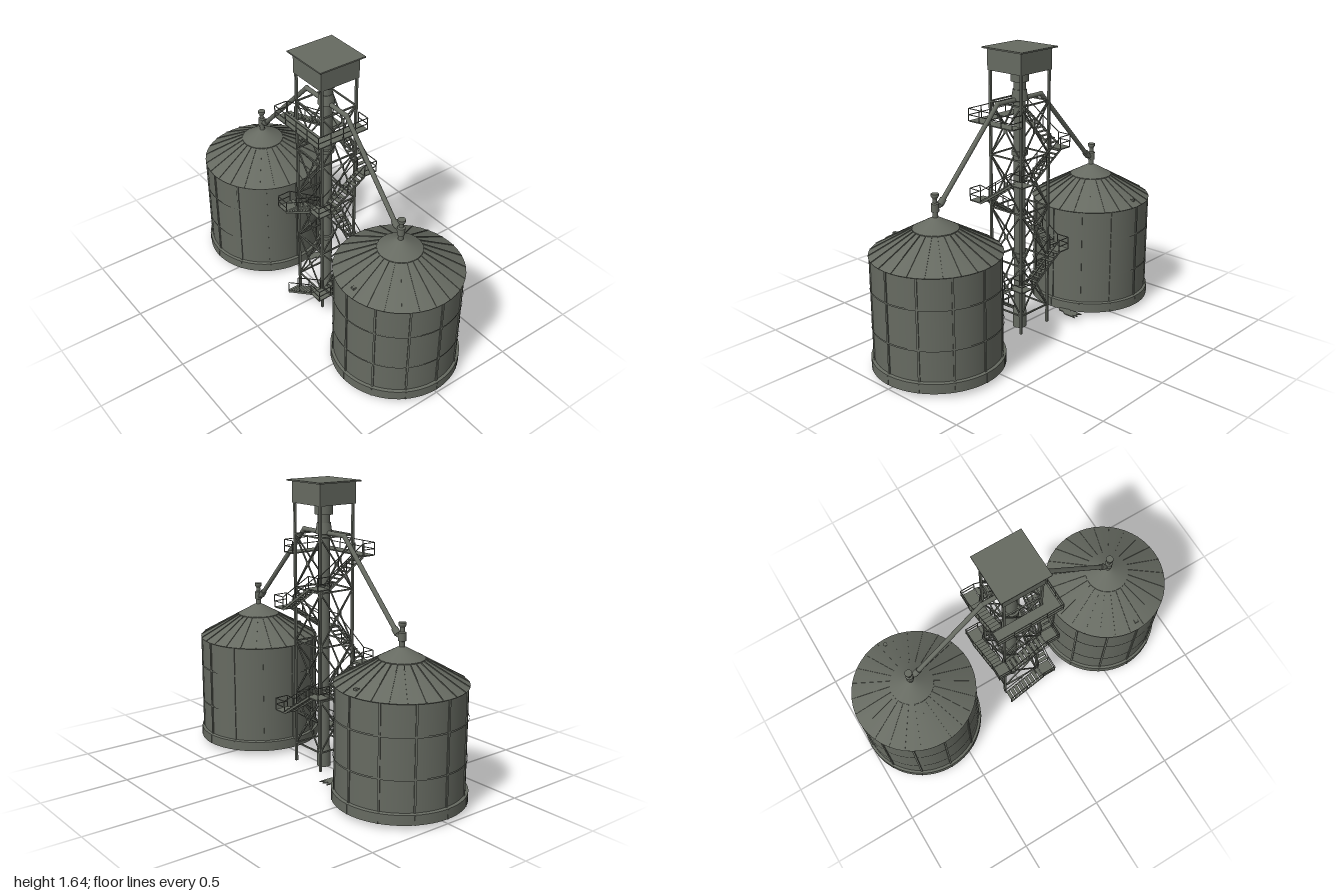
import * as THREE from 'three';
import { mergeGeometries } from 'three/addons/utils/BufferGeometryUtils.js';

const steel = new THREE.MeshStandardMaterial({ color: 0x666a61, side: THREE.DoubleSide });
steel.name = 'greyGreenSteel';

const V = (x, y, z) => new THREE.Vector3(x, y, z);

function add(parent, name, geometries) {
  const list = [].concat(geometries);
  const mesh = new THREE.Mesh(list.length > 1 ? mergeGeometries(list) : list[0], steel);
  mesh.name = name;
  parent.add(mesh);
  return mesh;
}

const box = (w, h, d, x, y, z) => new THREE.BoxGeometry(w, h, d).translate(x, y, z);

// Straight bar between two points; w is its width, t its thickness
function beam(a, b, w, t = w) {
  const o = new THREE.Object3D();
  o.position.copy(a).add(b).multiplyScalar(0.5);
  o.lookAt(b);
  o.updateMatrix();
  return new THREE.BoxGeometry(w, t, a.distanceTo(b)).applyMatrix4(o.matrix);
}

// Round pipe between two points
function pipe(a, b, r) {
  const o = new THREE.Object3D();
  o.position.copy(a).add(b).multiplyScalar(0.5);
  o.quaternion.setFromUnitVectors(V(0, 1, 0), b.clone().sub(a).normalize());
  o.updateMatrix();
  return new THREE.CylinderGeometry(r, r, a.distanceTo(b), 14).applyMatrix4(o.matrix);
}

// Turned profile of [radius, y] pairs with a sharp edge at each point
function turned(points, segments) {
  const parts = [];
  for (let i = 1; i < points.length; i++) {
    parts.push(new THREE.LatheGeometry(
      [points[i - 1], points[i]].map(p => new THREE.Vector2(...p)), segments));
  }
  return mergeGeometries(parts);
}

function createSilo() {
  const silo = new THREE.Group();
  silo.name = 'silo';
  add(silo, 'siloWall', turned([[0.345, 0.06], [0.345, 0.65]], 72));
  add(silo, 'baseRing', turned(
    [[0.335, 0.025], [0.36, 0.025], [0.36, 0.08], [0.345, 0.085], [0.335, 0.085], [0.335, 0.025]], 72));
  add(silo, 'roof', turned([[0.345, 0.645], [0.352, 0.65], [0.12, 0.78]], 48));
  add(silo, 'roofCap', turned([[0.122, 0.778], [0.122, 0.784], [0.03, 0.835], [0.015, 0.842]], 48));

  // Hoops and wall ribs
  add(silo, 'hoops', [0.26, 0.48].map(y =>
    new THREE.CylinderGeometry(0.351, 0.351, 0.01, 72, 1, true).translate(0, y, 0)));
  const ribs = [], seams = [], clips = [];
  for (let i = 0; i < 12; i++) {
    ribs.push(box(0.011, 0.565, 0.008, 0, 0.367, 0.347).rotateY(i * Math.PI / 6));
    clips.push(box(0.006, 0.05, 0.004, 0, 0.05, 0.36).rotateY(i * Math.PI / 6));
  }
  for (let i = 0; i < 24; i++) {
    seams.push(beam(V(0, 0.652, 0.35), V(0, 0.782, 0.12), 0.004, 0.006).rotateY((i + 0.5) * Math.PI / 12));
  }
  add(silo, 'wallRibs', ribs);
  add(silo, 'baseClips', clips);
  add(silo, 'roofSeams', seams);
  add(silo, 'roofHatch', box(0.02, 0.012, 0.02, -0.31, 0.678, 0.01));

  // Inlet valve on the peak
  add(silo, 'inletValve', turned([[0.015, 0.83], [0.015, 0.87], [0.021, 0.872], [0.021, 0.915],
    [0.012, 0.92], [0.012, 0.94], [0.021, 0.955], [0.021, 0.968], [0, 0.968]], 16));
  return silo;
}

function createTower() {
  const tower = new THREE.Group();
  tower.name = 'tower';
  const L = 0.112, levels = [0.13, 0.43, 0.735, 1.04, 1.34];
  const legs = [], girts = [], braces = [];
  for (let s = 0; s < 4; s++) {
    const a = s * Math.PI / 2;
    legs.push(box(0.013, 1.49, 0.013, L, 0.765, L).rotateY(a));
    levels.forEach((y, i) => {
      girts.push(box(2 * L, 0.008, 0.008, 0, y, L).rotateY(a));
      if (i === 0) return;
      const y0 = levels[i - 1];
      braces.push(beam(V(-L, y0, L), V(L, y, L), 0.007).rotateY(a));
      braces.push(beam(V(L, y0, L), V(-L, y, L), 0.007).rotateY(a));
      braces.push(box(0.025, 0.025, 0.006, 0, (y0 + y) / 2, L).rotateY(a));
    });
  }
  add(tower, 'towerLegs', legs);
  add(tower, 'girts', girts);
  add(tower, 'crossBraces', braces);

  // Elevator column with collars and discharge head
  add(tower, 'elevatorColumn', turned([[0, 0], [0.04, 0], [0.04, 0.09], [0.033, 0.12], [0.033, 1.34],
    [0.047, 1.345], [0.038, 1.405], [0.034, 1.405], [0.034, 1.45], [0.05, 1.45], [0.05, 1.51]], 24));
  add(tower, 'columnCollars', [0.45, 1.05].map(y =>
    new THREE.CylinderGeometry(0.045, 0.045, 0.025, 20).translate(0, y, 0)));

  // Head house
  add(tower, 'headHouse', box(0.245, 0.12, 0.245, 0, 1.57, 0));
  add(tower, 'headHouseRoof', box(0.288, 0.008, 0.288, 0, 1.632, 0));
  return tower;
}

// One flight along the +z side, rising from -x to +x, with its upper landing
function createFlight(y, rise, hasLanding) {
  const g = [], h = 0.115, inner = 0.127, outer = 0.195, mid = (inner + outer) / 2, n = 9;
  for (let i = 0; i < n; i++) {
    g.push(box(0.021, 0.004, outer - inner, -h + (i + 0.5) * 2 * h / n, y + (i + 1) * rise / n, mid));
  }
  for (const z of [inner, outer]) {
    g.push(beam(V(-h, y, z), V(h, y + rise, z), 0.004, 0.012));
    g.push(beam(V(-h, y + 0.07, z), V(h, y + rise + 0.07, z), 0.004));
    for (const t of [0, 0.5, 1]) {
      g.push(box(0.004, 0.07, 0.004, -h + 2 * h * t, y + rise * t + 0.035, z));
    }
  }
  if (hasLanding) {
    const t = y + rise;
    g.push(box(0.08, 0.006, 0.08, 0.155, t, 0.155));
    for (const dy of [0.035, 0.07]) {
      g.push(box(0.08, 0.004, 0.004, 0.155, t + dy, 0.195), box(0.004, 0.004, 0.08, 0.195, t + dy, 0.155));
    }
    for (const [x, z] of [[0.115, 0.195], [0.195, 0.195], [0.195, 0.115]]) {
      g.push(box(0.004, 0.07, 0.004, x, t + 0.035, z));
    }
  }
  return g;
}

function createStairs() {
  const stairs = new THREE.Group();
  stairs.name = 'stairs';
  // Flights wind around the tower, starting on the -x side
  for (let i = 0; i < 8; i++) {
    const flight = add(stairs, 'stairFlight', createFlight(0.02 + i * 0.151, 0.151, i < 7));
    flight.rotation.y = (i - 1) * Math.PI / 2;
  }
  // L-shaped top platform with railings
  const y = 1.23, e = 0.196;
  const g = [box(0.075, 0.006, 0.392, -0.158, y, 0), box(0.245, 0.006, 0.075, 0.002, y, 0.158)];
  for (const dy of [0.035, 0.07]) {
    g.push(box(0.004, 0.004, 2 * e, -e, y + dy, 0), box(0.32, 0.004, 0.004, -0.036, y + dy, e),
      box(0.075, 0.004, 0.004, -0.158, y + dy, -e), box(0.004, 0.004, 0.075, 0.124, y + dy, 0.158));
  }
  for (let i = 0; i < 5; i++) {
    g.push(box(0.004, 0.07, 0.004, -e, y + 0.035, -e + i * 0.098));
    g.push(box(0.004, 0.07, 0.004, -e + i * 0.08, y + 0.035, e));
  }
  g.push(box(0.004, 0.07, 0.004, 0.124, y + 0.035, 0.12), box(0.004, 0.07, 0.004, -0.12, y + 0.035, -e));
  add(stairs, 'topPlatform', g);
  return stairs;
}

export function createModel() {
  const model = new THREE.Group();
  model.name = 'grainElevator';
  model.add(createTower(), createStairs());

  for (const s of [1, -1]) {
    const silo = createSilo();
    silo.position.z = 0.64 * s;
    if (s < 0) silo.rotation.y = Math.PI;
    model.add(silo);
    // Spout from the elevator head to the silo
    const p = [V(0, 1.35, 0), V(0, 1.35, 0.175 * s), V(0, 0.9, 0.605 * s), V(0, 0.885, 0.64 * s)];
    const parts = [1, 2, 3].map(i => pipe(p[i - 1], p[i], 0.013));
    for (const i of [1, 2]) parts.push(new THREE.SphereGeometry(0.015, 12, 8).translate(p[i].x, p[i].y, p[i].z));
    parts.push(pipe(V(0, 0.925, 0.581 * s), V(0, 0.9, 0.605 * s), 0.018));
    add(model, 'spout', parts);
  }

  // Ragged scrap lying beside the rear silo
  const scrap = new THREE.Shape([[0.06, 0.29], [0.12, 0.31], [0.15, 0.29], [0.17, 0.305], [0.22, 0.3],
    [0.19, 0.28], [0.22, 0.265], [0.19, 0.255], [0.22, 0.24], [0.14, 0.24], [0.11, 0.26], [0.08, 0.26]]
    .map(p => new THREE.Vector2(...p)));
  add(model, 'groundScrap', new THREE.ExtrudeGeometry(scrap, { depth: 0.006, bevelEnabled: false })
    .rotateX(-Math.PI / 2).translate(0, 0.027, 0));
  return model;
}
